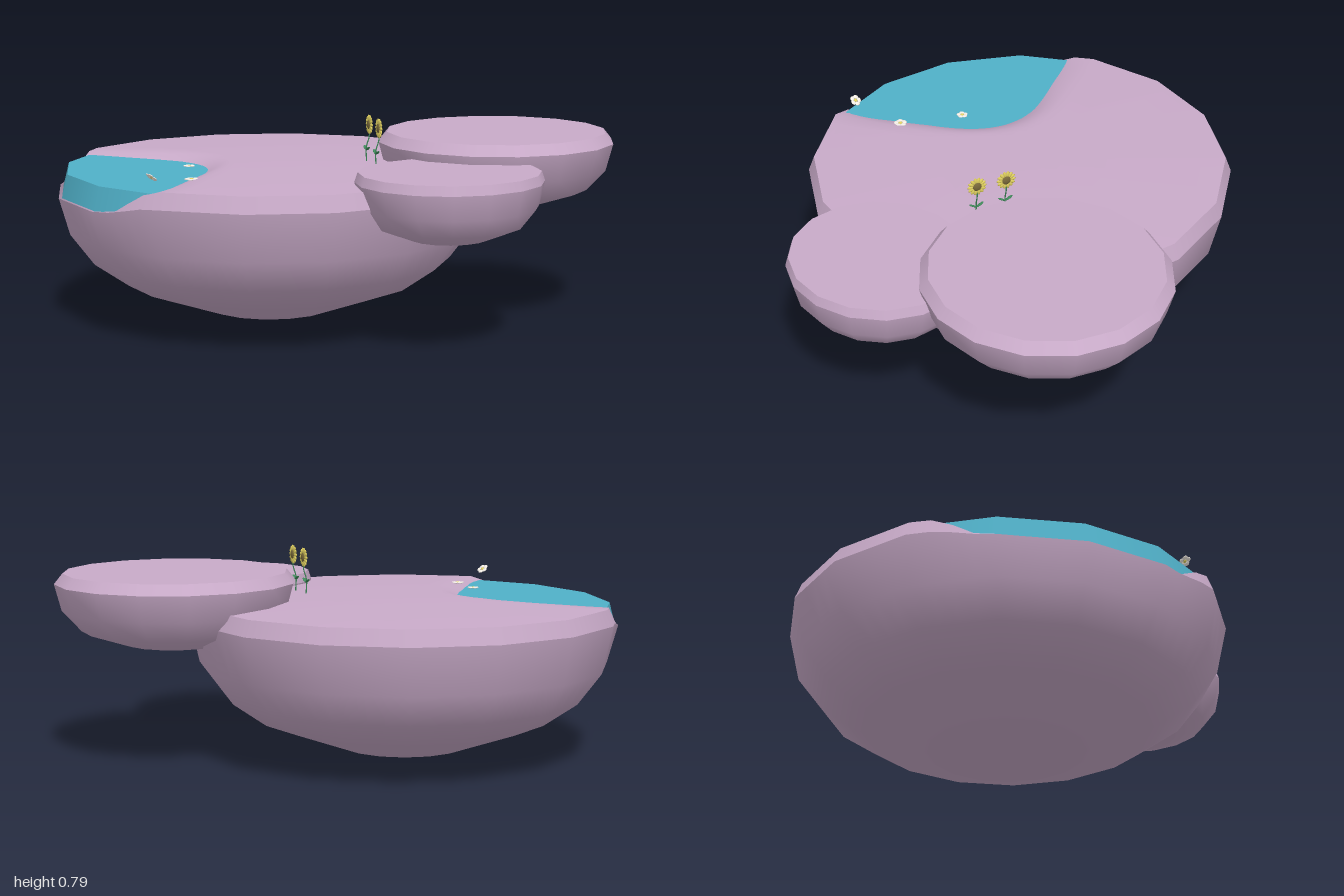
import * as THREE from 'three';

const mat = (color, extra = {}) => new THREE.MeshStandardMaterial({ color, roughness: 1, ...extra });
const stone = mat(0xc8aac8);
const waterMat = mat(0x50b0c8);
const white = mat(0xf4eee6), yellow = mat(0xe0d060), brown = mat(0x7a6a3a);
const green = mat(0x3f8a5a, { side: THREE.DoubleSide });

const CENTER = { x: -0.16, z: -0.18 };
const SIDES = 16;

function add(parent, name, geometry, material) {
  const m = new THREE.Mesh(geometry, material);
  m.name = name;
  parent.add(m);
  return m;
}

const lathe = (pts, seg) => new THREE.LatheGeometry(pts.map(p => new THREE.Vector2(...p)), seg);

// ground height with the hollow that holds the pond
function groundHeight(x, z, base) {
  const dx = x + 0.85, dz = z + 0.45;
  const r = 0.48 + 0.03 * Math.cos(4 * (Math.atan2(dz, dx) - 0.26));
  const t = THREE.MathUtils.smoothstep(Math.hypot(dx, dz), r - 0.2, r + 0.07);
  return 0.5 + (base - 0.5) * t;
}

// pull a finely divided round lathe to a 16-sided outline and press in the pond hollow
function shapeIsland(geo) {
  const p = geo.attributes.position, step = Math.PI * 2 / SIDES;
  for (let i = 0; i < p.count; i++) {
    const a = Math.atan2(p.getX(i), p.getZ(i)) + Math.PI * 2;
    const k = Math.cos(step / 2) / Math.cos((a % step) - step / 2);
    const x = p.getX(i) * k, z = p.getZ(i) * k, y = p.getY(i);
    const h = y > 0.5 ? groundHeight(x + CENTER.x, z + CENTER.z, y) : y;
    p.setXYZ(i, x, h, z);
  }
  return geo;
}

function buildIsland() {
  const g = new THREE.Group();
  g.name = 'mainIsland';
  g.position.set(CENTER.x, 0, CENTER.z);
  add(g, 'islandBowl', shapeIsland(lathe(
    [[0, 0], [0.24, 0.035], [0.56, 0.15], [0.69, 0.24], [0.78, 0.36], [0.82, 0.54]], 64)), stone);
  add(g, 'islandRim', shapeIsland(lathe([[0.82, 0.54], [0.797, 0.6]], 64)), stone);
  // gently domed ground
  const rows = [];
  for (let i = 0; i <= 26; i++) {
    const r = 0.797 * (1 - i / 26);
    rows.push([r, 0.6 + 0.02 * (1 - (r / 0.797) ** 2)]);
  }
  const top = shapeIsland(lathe(rows, 64));
  top.computeVertexNormals();
  add(g, 'islandGround', top, stone);
  // the water shows only where the ground dips below it
  const water = add(g, 'pondWater', new THREE.CylinderGeometry(0.785, 0.808, 0.09, SIDES), waterMat);
  water.position.y = 0.543;
  return g;
}

// smaller flat-topped dish with bevelled rim
function buildDish(name, x, z, rx, rz, y0, y1, topRadius, turn) {
  const g = new THREE.Group();
  g.name = name;
  const h = y1 - y0, rim = 0.87;
  add(g, 'dishBowl', lathe(
    [[0, 0], [0.42, 0.09], [0.78, 0.27], [0.94, 0.53], [1, rim]], SIDES), stone);
  add(g, 'dishRim', lathe([[1, rim], [topRadius, 1]], SIDES), stone);
  add(g, 'dishTop', lathe([[topRadius, 1], [0, 1]], SIDES), stone);
  g.children.forEach(m => m.geometry.rotateY(turn));
  g.position.set(x, y0, z);
  g.scale.set(rx, h, rz);
  return g;
}

// flower head facing +z
function flowerHead(name, petals, radius, petalMat, coreMat, coreSize) {
  const g = new THREE.Group();
  g.name = name;
  const width = Math.min(0.45, 2.6 / petals);
  for (let i = 0; i < petals; i++) {
    const a = i / petals * Math.PI * 2;
    const petal = add(g, 'petal', new THREE.SphereGeometry(1, 8, 6), petalMat);
    petal.scale.set(radius * 0.38, radius * width, radius * 0.12);
    petal.position.set(Math.cos(a) * radius * 0.62, Math.sin(a) * radius * 0.62, 0);
    petal.rotation.z = a;
  }
  const core = add(g, 'flowerCore', new THREE.SphereGeometry(radius * coreSize, 10, 8), coreMat);
  core.scale.z = 0.45;
  return g;
}

function buildTallFlower(x, z) {
  const g = new THREE.Group();
  g.name = 'tallFlower';
  const curve = new THREE.CatmullRomCurve3([
    new THREE.Vector3(-0.01, 0, 0), new THREE.Vector3(-0.012, 0.06, 0),
    new THREE.Vector3(0, 0.1, 0), new THREE.Vector3(-0.002, 0.145, 0)]);
  add(g, 'stem', new THREE.TubeGeometry(curve, 10, 0.0025, 5), green);
  for (const s of [-1, 1]) {
    const leaf = add(g, 'leaf', new THREE.SphereGeometry(1, 8, 5), green);
    leaf.scale.set(0.007, 0.003, 0.017);
    leaf.position.set(-0.01, 0.055, s * 0.014);
    leaf.rotation.x = -s * 0.5;
  }
  const head = flowerHead('tallFlowerHead', 14, 0.038, yellow, brown, 0.5);
  head.position.y = 0.145;
  head.rotation.y = Math.PI / 2;
  g.add(head);
  g.position.set(x, 0.61, z);
  g.rotation.y = -0.4;
  return g;
}

export function createModel() {
  const model = new THREE.Group();
  model.name = 'floatingIslands';
  model.add(buildIsland());
  model.add(buildDish('smallDish', -0.02, 0.668, 0.35, 0.327, 0.385, 0.65, 0.965, 0.1));
  model.add(buildDish('largeDish', 0.515, 0.36, 0.458, 0.447, 0.42, 0.72, 0.93, 0.2));

  // pair of tall flowers
  model.add(buildTallFlower(0.03, 0.23), buildTallFlower(0.075, 0.125));

  // low blossoms along the shore: x, y, z, size, tilt
  for (const [x, y, z, size, tilt] of [
    [-0.52, 0.616, -0.215, 0.023, 0], [-0.66, 0.606, -0.01, 0.027, 0], [-0.87, 0.64, 0.04, 0.024, 0.7]]) {
    const b = flowerHead('shoreBlossom', 5, size, white, yellow, 0.3);
    b.rotation.set(-Math.PI / 2, tilt, 0);
    b.position.set(x, y, z);
    model.add(b);
  }
  return model;
}
